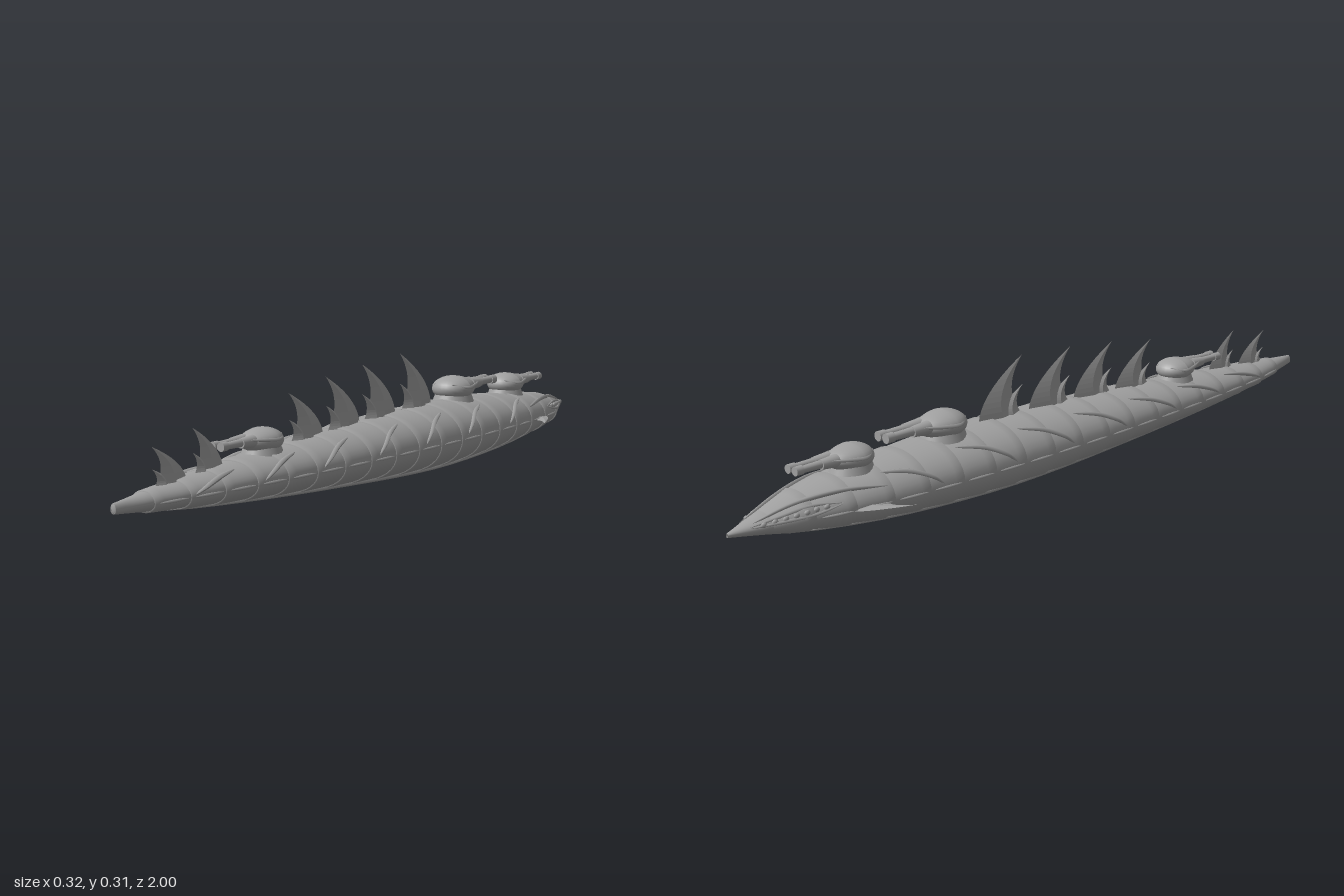
import * as THREE from 'three';

const grey = new THREE.MeshStandardMaterial({ color: 0xa0a0a0, side: THREE.DoubleSide });
grey.name = 'hull grey';

// hull stations from z = -1 (head) to z = 1 (tail): half width, top, bottom
const stations = [
  [0.004, 0.087, 0.077], [0.073, 0.13, 0.042], [0.105, 0.152, 0.02], [0.119, 0.162, 0.008],
  [0.123, 0.165, 0.003], [0.12, 0.16, 0.008], [0.112, 0.152, 0.018], [0.097, 0.141, 0.028],
  [0.078, 0.129, 0.04], [0.051, 0.114, 0.054], [0.008, 0.098, 0.074],
].map((s) => new THREE.Vector3(...s));
const profile = new THREE.CatmullRomCurve3(stations, false, 'catmullrom', 0.5);

// point on the hull at z, at angle a from the model's left, raised by off
function hullPoint(z, a, off = 0) {
  const s = profile.getPoint(THREE.MathUtils.clamp((z + 1) / 2, 0, 1));
  const mid = 0.083;
  const drift = z < -0.8 ? (z + 0.8) * 0.08 : z > 0.8 ? 0.003 + (z - 0.8) * 0.045 : 0.003;
  const ry = Math.sin(a) > 0 ? s.y - mid : mid - s.z;
  return new THREE.Vector3(drift + Math.cos(a) * (s.x + off), mid + Math.sin(a) * (ry + off), z);
}

// surface through a grid of points fn(i, j)
function grid(nu, nv, fn) {
  const pos = [], index = [];
  for (let i = 0; i <= nu; i++) for (let j = 0; j <= nv; j++) pos.push(...fn(i, j).toArray());
  for (let i = 0; i < nu; i++) {
    for (let j = 0; j < nv; j++) {
      const a = i * (nv + 1) + j, b = a + nv + 1;
      index.push(a, a + 1, b, b, a + 1, b + 1);
    }
  }
  const g = new THREE.BufferGeometry();
  g.setAttribute('position', new THREE.Float32BufferAttribute(pos, 3));
  g.setIndex(index.reverse());
  g.computeVertexNormals();
  return g;
}

// tube that thins to a point at both ends
function taperedTube(points, radius, taper = true) {
  const curve = new THREE.CatmullRomCurve3(points);
  const n = 20, m = 6;
  const g = new THREE.TubeGeometry(curve, n, radius, m);
  const p = g.attributes.position, v = new THREE.Vector3();
  for (let i = 0; i <= n && taper; i++) {
    const c = curve.getPointAt(i / n);
    const k = Math.max(0.05, Math.sqrt(Math.sin((Math.PI * i) / n)));
    for (let j = 0; j <= m; j++) {
      const q = i * (m + 1) + j;
      v.fromBufferAttribute(p, q).sub(c).multiplyScalar(k).add(c);
      p.setXYZ(q, v.x, v.y, v.z);
    }
  }
  g.computeVertexNormals();
  return g;
}

function add(parent, name, geometry, x = 0, y = 0, z = 0) {
  const mesh = new THREE.Mesh(geometry, grey);
  mesh.name = name;
  mesh.position.set(x, y, z);
  parent.add(mesh);
  return mesh;
}

// swept dorsal blade with a diamond section, tip towards +z
function bladeGeometry(zLead, chord, base, height, thick) {
  const n = 12;
  return grid(n, 4, (i, j) => {
    const t = i / n;
    const lead = zLead + chord * t * t;
    const trail = zLead + chord * (1 - t * (1 - t));
    const mid = lead + (trail - lead) * 0.5;
    const w = thick * (1 - t) * (j === 1 ? 1 : j === 3 ? -1 : 0);
    return new THREE.Vector3(0.005 + w, base + height * t, j % 4 === 0 ? lead : j === 2 ? trail : mid);
  }).toNonIndexed();
}

// twin gun mount pointing towards +z
function makeTurret(name) {
  const t = new THREE.Group();
  t.name = name;
  const collar = add(t, 'turretCollar', new THREE.CylinderGeometry(0.046, 0.054, 0.024, 24), 0, 0, 0);
  collar.scale.z = 1.15;
  const dome = new THREE.SphereGeometry(1, 28, 16);
  const p = dome.attributes.position;
  for (let i = 0; i < p.count; i++) {
    const f = Math.max(0, p.getZ(i));
    p.setXYZ(i, p.getX(i) * 0.056 * (1 - 0.2 * f), p.getY(i) * 0.034 * (1 - 0.15 * f), p.getZ(i) * (f > 0 ? 0.08 : 0.06));
  }
  dome.computeVertexNormals();
  add(t, 'turretDome', dome, 0, 0.025, 0);
  for (const s of [1, -1]) {
    const barrel = new THREE.CylinderGeometry(0.009, 0.012, 0.14, 14).rotateX(Math.PI / 2);
    add(t, 'gunBarrel', barrel, s * 0.014, 0.031, 0.115);
    add(t, 'gunMuzzle', new THREE.CylinderGeometry(0.012, 0.012, 0.022, 14).rotateX(Math.PI / 2), s * 0.014, 0.031, 0.179);
    add(t, 'gunSleeve', new THREE.CylinderGeometry(0.013, 0.017, 0.05, 14).rotateX(Math.PI / 2), s * 0.015, 0.03, 0.085);
    add(t, 'turretRidge', taperedTube([
      new THREE.Vector3(s * 0.025, 0.04, -0.05), new THREE.Vector3(s * 0.052, 0.03, -0.012),
      new THREE.Vector3(s * 0.046, 0.032, 0.035), new THREE.Vector3(s * 0.028, 0.036, 0.085),
    ], 0.005));
  }
  add(t, 'gunBridge', new THREE.BoxGeometry(0.03, 0.01, 0.09), 0, 0.028, 0.1);
  return t;
}

export function createModel() {
  const model = new THREE.Group();
  model.name = 'serpentShip';

  // overlapping hull plates, each flaring towards the tail
  const count = 20, around = 36, steps = 4;
  for (let k = 0; k < count; k++) {
    const z0 = -1 + (2 * k) / count, len = 2 / count;
    add(model, 'hullPlate', grid(steps + 1, around, (i, j) => {
      const t = Math.min(i, steps) / steps;
      const end = k === 0 || k === count - 1 ? 0 : 1;
      const flare = i > steps ? -0.002 : 0.0035 * t * end;
      return hullPoint(z0 + t * len, (j / around) * Math.PI * 2, flare);
    }));
  }
  add(model, 'tailTip', new THREE.SphereGeometry(0.011, 12, 8).scale(0.75, 1.1, 0.3), 0.012, 0.086, 0.997);

  for (const s of [1, -1]) {
    const side = (a) => (s > 0 ? a : Math.PI - a);
    const line = (list) => list.map(([z, a, off]) => hullPoint(z, side(a), off));

    // curved ribs climbing forward over the flanks
    for (const z of [0.79, 0.58, 0.38, 0.17, -0.03, -0.23, -0.46]) {
      add(model, 'flankRib', taperedTube(line([
        [z, 0.12, 0.002], [z - 0.03, 0.4, 0.005], [z - 0.08, 0.72, 0.005], [z - 0.15, 0.98, 0.002],
      ]), 0.006));
    }
    // broken line of strakes along the widest part
    for (let i = 0; i < 17; i++) {
      const z = -0.8 + i * 0.1;
      add(model, 'sideStrake', taperedTube(line([[z + 0.01, 0, 0.003], [z + 0.05, 0, 0.004], [z + 0.09, 0, 0.004]]), 0.0035));
    }
    // bilge keels
    const keel = [];
    for (let z = -0.85; z < 0.92; z += 0.1) keel.push([z, -1.12, 0.002]);
    add(model, 'bilgeKeel', taperedTube(line(keel), 0.007));

    // mouth, teeth and brow of the head
    add(model, 'upperLip', taperedTube(line([[-0.95, 0.55, 0.001], [-0.88, 0.62, 0.002], [-0.8, 0.6, 0.002], [-0.73, 0.4, 0.002]]), 0.004));
    add(model, 'lowerLip', taperedTube(line([[-0.95, 0.4, 0.001], [-0.88, 0.25, 0.002], [-0.8, 0.2, 0.002], [-0.73, 0.36, 0.002]]), 0.004));
    for (let i = 0; i < 7; i++) {
      const p = hullPoint(-0.92 + i * 0.025, side(0.4), 0.001);
      add(model, 'tooth', new THREE.SphereGeometry(0.007, 8, 6).scale(0.7, 0.9, 1.2), p.x, p.y, p.z);
    }
    add(model, 'browRidge', taperedTube(line([[-0.94, 0.9, 0.001], [-0.84, 1.0, 0.003], [-0.72, 0.8, 0.004], [-0.6, 0.5, 0.002]]), 0.006));

    // sickle side fins
    const fin = grid(10, 4, (i, j) => {
      const t = i / 10;
      const lead = -0.715 + 0.135 * Math.pow(t, 1.5);
      const trail = -0.58 - 0.09 * t * (1 - t) - 0.03 * (1 - t);
      const y = 0.006 * (1 - t) * (j === 1 ? 1 : j === 3 ? -1 : 0);
      const z = j % 4 === 0 ? lead : j === 2 ? trail : (lead + trail) / 2;
      return new THREE.Vector3(0.001 + s * (0.085 + 0.073 * t), 0.082 + y, z);
    }).toNonIndexed();
    fin.computeVertexNormals();
    add(model, 'sideFin', fin);
  }

  // dorsal blades: leading root z, tip z, tip height
  for (const [lead, tip, top] of [
    [0.755, 0.87, 0.198], [0.63, 0.735, 0.222], [0.245, 0.385, 0.26],
    [0.09, 0.235, 0.283], [-0.07, 0.08, 0.298], [-0.24, -0.09, 0.31],
  ]) {
    const chord = tip - lead;
    const base = hullPoint(tip, Math.PI / 2).y - 0.008;
    const blade = bladeGeometry(lead, chord, base, top - base, chord * 0.1);
    blade.computeVertexNormals();
    add(model, 'dorsalBlade', blade);
    const spur = bladeGeometry(lead + chord * 0.45, chord * 0.55, base, (top - base) * 0.5, chord * 0.11);
    spur.computeVertexNormals();
    add(model, 'dorsalSpur', spur);
  }

  // gun turrets: z, base height, scale, heading
  for (const [name, z, y, k, turn] of [
    ['rearFacingTurret', 0.48, 0.14, 0.88, 0],
    ['midTurret', -0.36, 0.167, 1, Math.PI],
    ['headTurret', -0.64, 0.153, 0.9, Math.PI],
  ]) {
    const t = makeTurret(name);
    t.position.set(0, y, z);
    t.scale.setScalar(k);
    t.rotation.y = turn;
    model.add(t);
  }
  return model;
}
